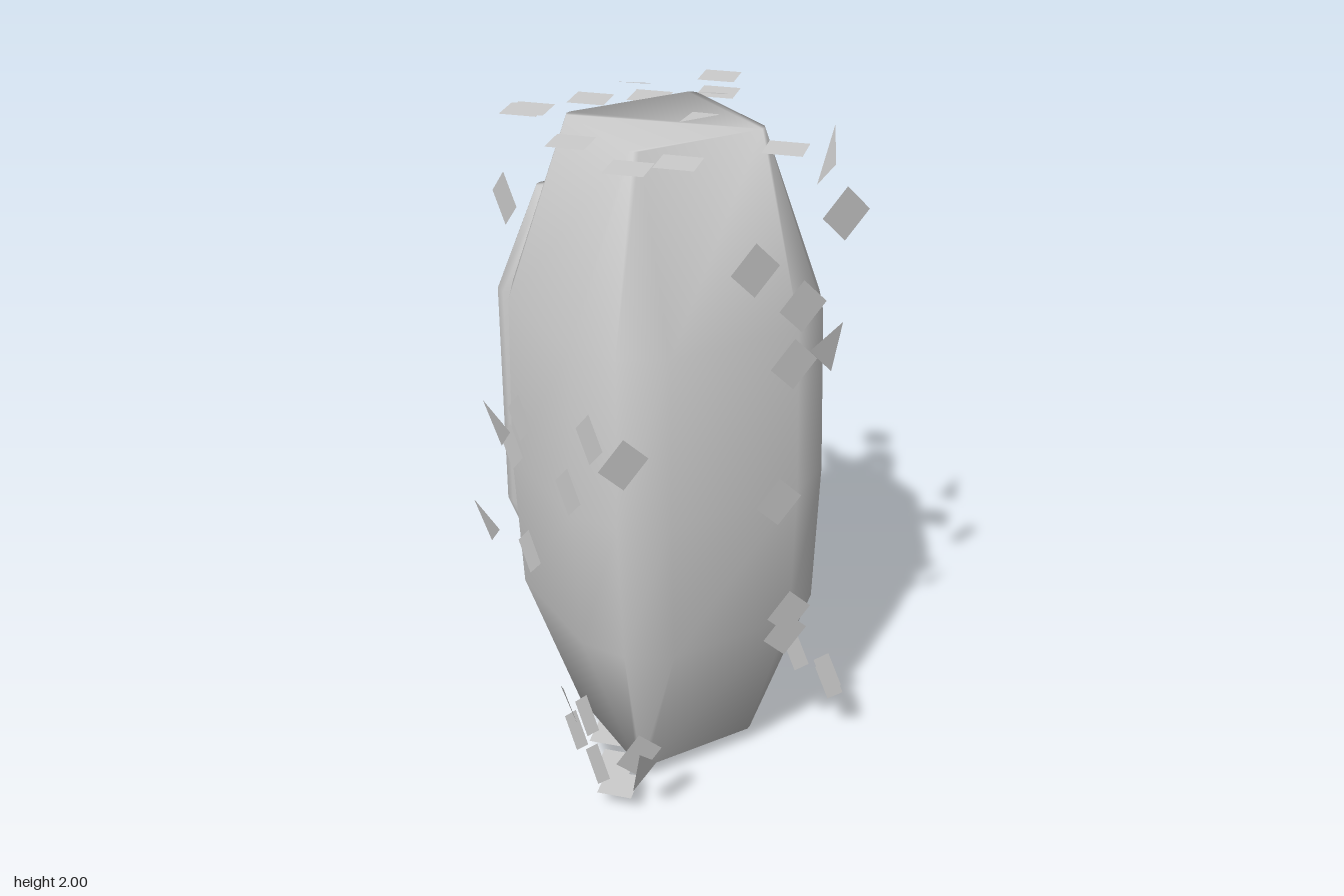
import * as THREE from 'three';
import { mergeVertices } from 'three/addons/utils/BufferGeometryUtils.js';

const grey = new THREE.MeshStandardMaterial({ color: 0xcccccc });
const thin = new THREE.MeshStandardMaterial({ color: 0xcccccc, side: THREE.DoubleSide });

// horizontal rectangle with bevelled corners: w half width, f front z, b back z, kx/kz bevel
function ring([y, w, f, b, kx, kz]) {
  const corner = [[kx, 0], [kx * 0.36, kz * 0.36], [0, kz]];
  const rev = [...corner].reverse();
  return [
    ...corner.map(([i, j]) => [w - i, y, f - j]),
    ...rev.map(([i, j]) => [w - i, y, b + j]),
    ...corner.map(([i, j]) => [-w + i, y, b + j]),
    ...rev.map(([i, j]) => [-w + i, y, f - j]),
  ];
}

// smooth skin over a stack of rings, closed at both ends
function loft(sections) {
  const rings = sections.map(ring);
  const n = rings[0].length, last = rings.length - 1;
  const pos = rings.flat(2), index = [];
  for (let i = 0; i < last; i++) {
    for (let j = 0; j < n; j++) {
      const a = i * n + j, b = i * n + (j + 1) % n;
      index.push(a, b, b + n, a, b + n, a + n);
    }
  }
  for (let j = 1; j < n - 1; j++) {
    index.push(0, j + 1, j, last * n, last * n + j, last * n + j + 1);
  }
  let geo = new THREE.BufferGeometry();
  geo.setAttribute('position', new THREE.Float32BufferAttribute(pos, 3));
  geo.setIndex(index);
  geo = mergeVertices(geo, 1e-4);
  geo.computeVertexNormals();
  return geo;
}

function polygon(points, index) {
  const geo = new THREE.BufferGeometry();
  geo.setAttribute('position', new THREE.Float32BufferAttribute(points.flat(), 3));
  geo.setIndex(index);
  const flat = geo.toNonIndexed();
  flat.computeVertexNormals();
  return flat;
}

// each side maps (u, v, outward distance) to space
// flakes: centres; shards: centre and direction of the side point
const sides = {
  front: {
    map: (u, v, d) => [u, v, 0.45 + d], out: 0.04,
    flakes: [[0.03, 1.69], [0.3, 1.79], [0.18, 1.56], [0.16, 1.4], [-0.35, 1.24], [0.13, 0.99],
      [0.18, 0.61], [0.17, 0.54], [-0.31, 0.29]],
    shards: [[0.28, 1.43, -1], [-0.33, 0.25, 1]],
  },
  right: {
    map: (u, v, d) => [0.405 + d, v, u], out: 0.05,
    flakes: [[0.03, 1.54], [-0.06, 1.46], [0.09, 1.4], [-0.14, 1.33], [0.15, 1.05], [-0.26, 0.95],
      [-0.03, 0.84], [0.09, 0.52], [0.18, 0.22], [0.36, 0.23], [0.35, 0.25], [-0.27, 0.2]],
    shards: [[0.17, 1.84, 1], [-0.165, 1.68, 1], [-0.17, 0.59, -1]],
  },
  left: {
    map: (u, v, d) => [-0.405 - d, v, u], out: 0.05,
    flakes: [[-0.08, 1.79], [0.37, 1.29], [0.24, 1.07], [-0.05, 1.16], [-0.11, 1.04], [-0.02, 0.74],
      [0.32, 0.38], [0.25, 0.28], [0.38, 0.25]],
    shards: [[-0.18, 1.09, 1], [-0.29, 0.71, 1], [0.26, 0.385, -1]],
  },
  top: {
    map: (u, v, d) => [u, 1.965 + d, v], out: 0.035,
    flakes: [[-0.25, -0.23], [-0.27, -0.23], [-0.07, -0.23], [-0.285, 0.07], [-0.255, 0.315],
      [-0.13, 0.34], [0.155, 0.38], [0.26, -0.11], [0.345, -0.24], [0.08, -0.17]],
    shards: [[0.065, -0.255, 1], [0.1, 0.08, -1], [0.195, -0.07, 1]],
  },
  bottom: {
    map: (u, v, d) => [u, 0.06 - d, v], out: 0.06,
    flakes: [[-0.2, 0.07], [-0.25, 0.2], [-0.29, 0.29], [0.33, -0.23], [0.17, -0.24], [0.27, -0.07]],
    shards: [[0.305, -0.2, 1]],
  },
};

export function createModel() {
  const model = new THREE.Group();
  const add = (name, geo, mat, parent = model) => {
    const mesh = new THREE.Mesh(geo, mat);
    mesh.name = name;
    parent.add(mesh);
    return mesh;
  };

  // tapered, bevelled body
  add('body', loft([
    [0.06, 0.2, 0.26, -0.15, 0.02, 0.02],
    [0.58, 0.38, 0.44, -0.305, 0.19, 0.19],
    [1.0, 0.4, 0.435, -0.31, 0.2, 0.19],
    [1.48, 0.385, 0.415, -0.31, 0.19, 0.18],
    [1.97, 0.2, 0.235, -0.14, 0.02, 0.02],
  ]), grey);

  // pack on the back
  add('backpack', loft([
    [0.35, 0.17, -0.32, -0.4, 0.02, 0.02],
    [0.7, 0.3, -0.295, -0.45, 0.07, 0.06],
    [1.4, 0.3, -0.295, -0.45, 0.07, 0.06],
    [1.69, 0.17, -0.31, -0.4, 0.02, 0.02],
  ]), grey);

  // two thin rails across the pack
  for (const y of [1.33, 0.71]) {
    add('packRail', new THREE.BoxGeometry(0.44, 0.02, 0.035), grey).position.set(0, y, -0.468);
  }

  // mirrored pointed ridges between the rails
  for (const s of [-1, 1]) {
    add('packRidge', polygon([
      [s * 0.18, 1.24, -0.455], [s * 0.18, 0.92, -0.455],
      [s * 0.09, 1.07, -0.452], [s * 0.15, 1.08, -0.482],
    ], [0, 2, 3, 2, 1, 3]), thin);
  }

  // loose diamond flakes and raised triangular shards around the body
  const r = 0.073;
  for (const [name, { map, out, flakes, shards }] of Object.entries(sides)) {
    const group = new THREE.Group();
    group.name = name + 'Flakes';
    model.add(group);
    for (const [u, v] of flakes) {
      add('flake', polygon([map(u + r, v, 0), map(u, v + r, 0), map(u - r, v, 0), map(u, v - r, 0)],
        [0, 1, 2, 0, 2, 3]), thin, group);
    }
    for (const [u, v, s] of shards) {
      add('shard', polygon([map(u, v + 0.08, out), map(u + s * 0.075, v, 0.005), map(u, v - 0.08, 0)],
        [0, 1, 2]), thin, group);
    }
  }
  return model;
}
